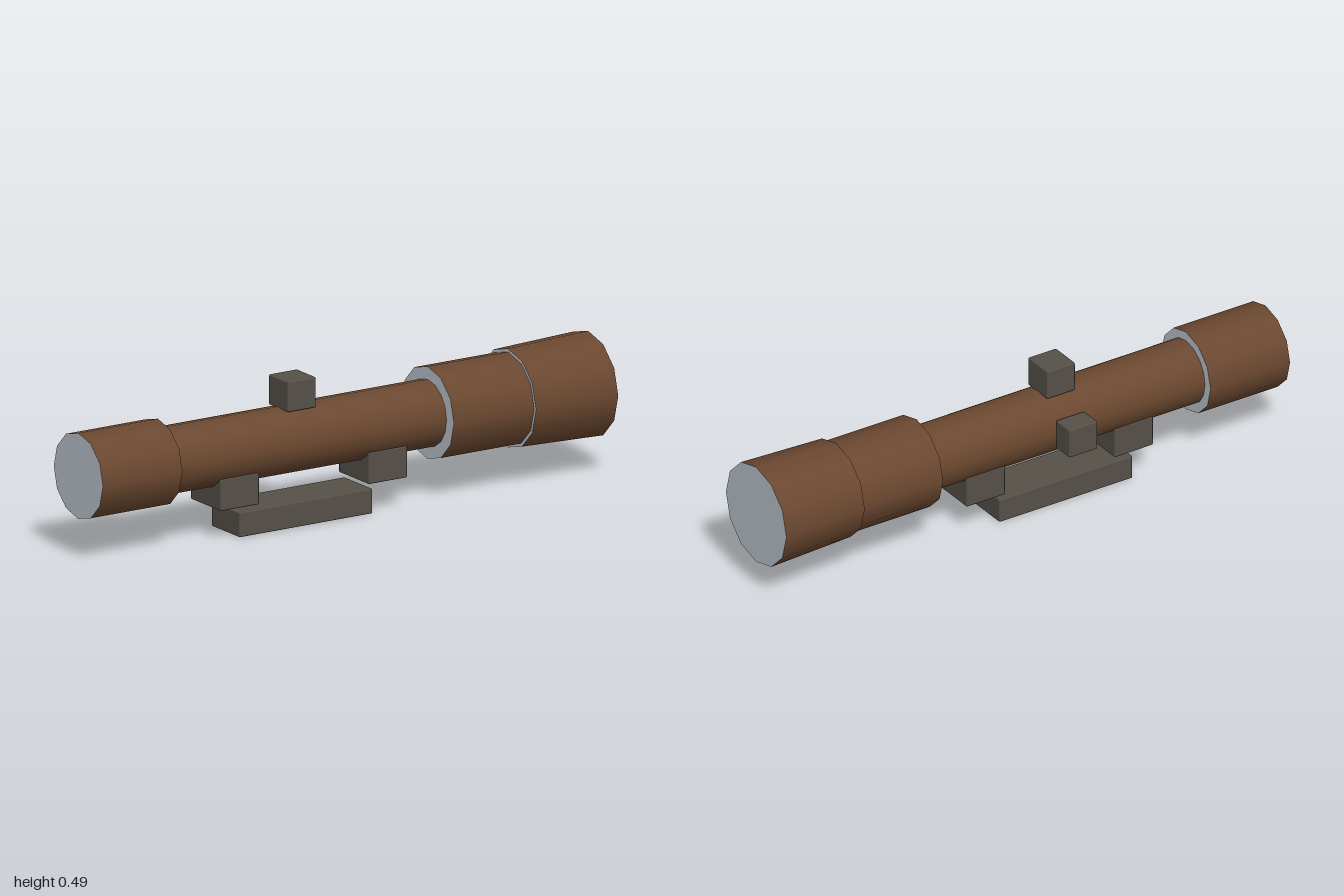
import * as THREE from 'three';
import { RoundedBoxGeometry } from 'three/addons/geometries/RoundedBoxGeometry.js';

const AXIS_Y = 0.281;
const AXIS_Z = 0.005;

function material(name, color) {
  const m = new THREE.MeshStandardMaterial({ color });
  m.name = name;
  return m;
}

export function createModel() {
  const brown = material('brown body', 0x6b4830);
  const glass = material('pale glass', 0xbcc6cf);
  const dark = material('dark metal', 0x565149);

  const model = new THREE.Group();
  model.name = 'scope';

  // Barrel section along x, with brown sides and pale end faces
  function section(name, x0, x1, r0, r1, sides) {
    const geometry = new THREE.CylinderGeometry(r1, r0, x1 - x0, sides);
    geometry.rotateZ(-Math.PI / 2);
    const mesh = new THREE.Mesh(geometry, [brown, glass, glass]);
    mesh.name = name;
    mesh.position.set((x0 + x1) / 2, AXIS_Y, AXIS_Z);
    model.add(mesh);
  }

  // Box with a narrow chamfer, given by its limits on each axis
  function block(name, [x0, x1], [y0, y1], [z0, z1]) {
    const geometry = new RoundedBoxGeometry(x1 - x0, y1 - y0, z1 - z0, 1, 0.005);
    const mesh = new THREE.Mesh(geometry, dark);
    mesh.name = name;
    mesh.position.set((x0 + x1) / 2, (y0 + y1) / 2, (z0 + z1) / 2);
    model.add(mesh);
  }

  // Optical barrel, from eyepiece to objective
  section('eyepiece', -1, -0.688, 0.146, 0.146, 12);
  section('mainTube', -0.7, 0.38, 0.113, 0.113, 16);
  section('objectiveCollar', 0.37, 0.686, 0.157, 0.157, 12);
  section('objectiveBell', 0.685, 1, 0.168, 0.179, 12);

  // Adjustment turrets
  block('topTurret', [-0.216, -0.105], [0.387, 0.491], [-0.052, 0.063]);
  block('sideTurret', [-0.216, -0.105], [0.229, 0.333], [-0.184, -0.103]);

  // Mount feet and rail
  for (const [name, x] of [['rearMount', -0.425], ['frontMount', 0.156]]) {
    block(name, [x - 0.076, x + 0.076], [0.103, 0.211], [-0.084, 0.095]);
  }
  block('rail', [-0.423, 0.1], [0, 0.085], [-0.079, 0.089]);

  return model;
}
